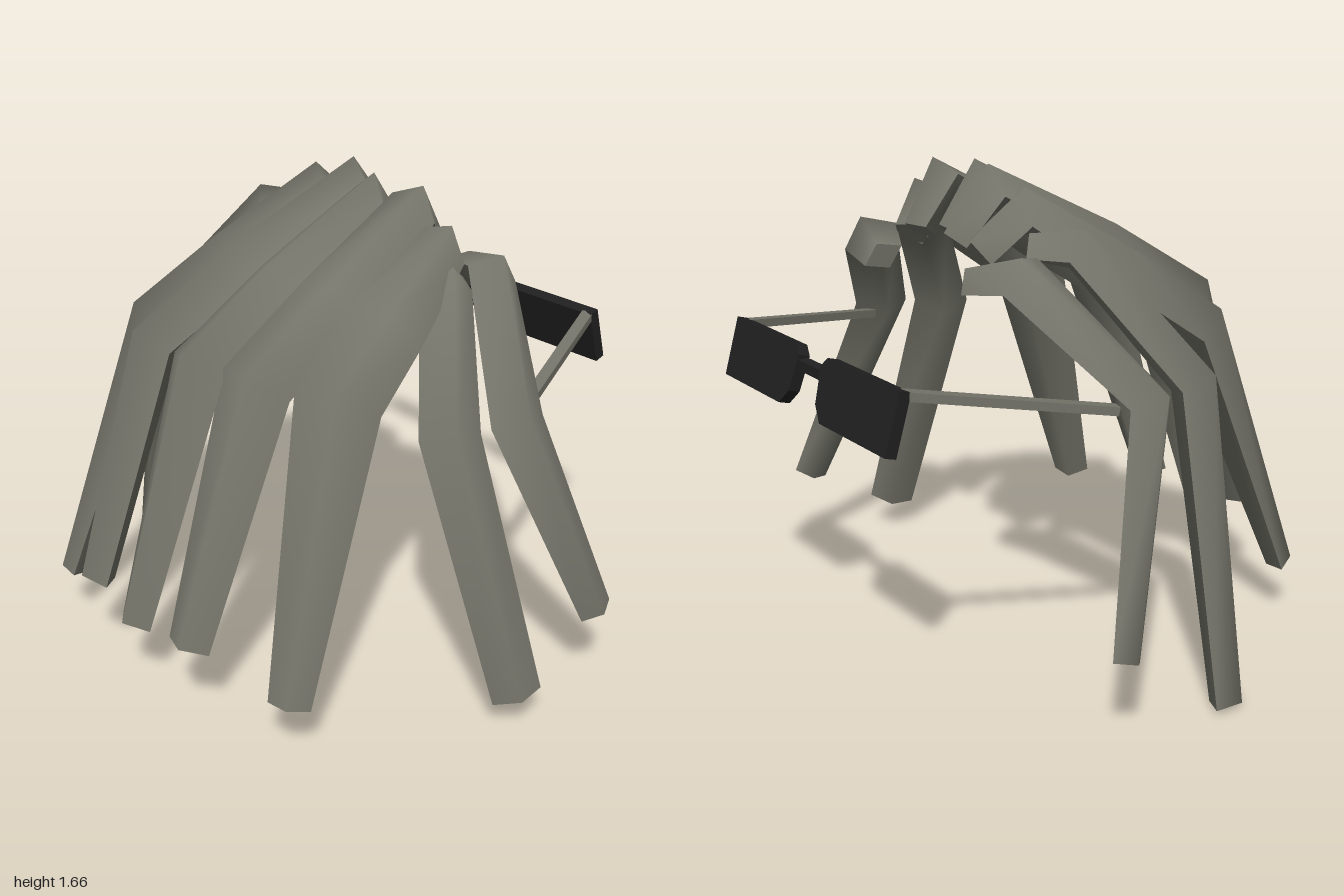
import * as THREE from 'three';

const hairMat = new THREE.MeshStandardMaterial({ color: 0x74746a });
hairMat.name = 'ashGrey';
const blackMat = new THREE.MeshStandardMaterial({ color: 0x202020 });
blackMat.name = 'black';

const V = (a) => new THREE.Vector3(...a);
const HEAD = new THREE.Vector3(0, 0.9, -0.25);

// A lock of hair: diamond cross-sections from root over crown and knee to tip.
// Each station is [x, y, z, half width, half thickness].
function lock(name, stations) {
  const c = stations.map((s) => V(s.slice(0, 3)));
  const rings = stations.map(([, , , w, t], i) => {
    const into = c[Math.max(i, 1)].clone().sub(c[Math.max(i, 1) - 1]).normalize();
    const j = Math.min(i + 1, c.length - 1);
    const out = c[j].clone().sub(c[j - 1]).normalize();
    const T = into.add(out).normalize();
    const N = c[i].clone().sub(HEAD);
    N.addScaledVector(T, -N.dot(T)).normalize();
    const S = N.clone().cross(T);
    return [[S, w], [N, t], [S, -w], [N, -t]].map(([d, k]) => c[i].clone().addScaledVector(d, k));
  });
  // smooth outer and inner faces that meet in a sharp edge at both sides
  const points = rings.flatMap(([a, b, d, e]) => [a, b, d, d, e, a]);
  const index = [];
  for (let i = 0; i < rings.length - 1; i++) {
    for (const k of [0, 1, 3, 4]) {
      const a = i * 6 + k, b = a + 1;
      index.push(a, b, b + 6, a, b + 6, a + 6);
    }
  }
  // flat end caps on their own vertices
  let n = points.length;
  points.push(...rings[0], ...rings[rings.length - 1]);
  index.push(n, n + 2, n + 1, n, n + 3, n + 2);
  n += 4;
  index.push(n, n + 1, n + 2, n, n + 2, n + 3);
  const geo = new THREE.BufferGeometry().setFromPoints(points);
  geo.setIndex(index);
  geo.computeVertexNormals();
  const mesh = new THREE.Mesh(geo, hairMat);
  mesh.name = name;
  return mesh;
}

// Thin bar between two points
function bar(name, from, to, w, h, mat) {
  const a = V(from), b = V(to);
  const mesh = new THREE.Mesh(new THREE.BoxGeometry(w, h, a.distanceTo(b)), mat);
  mesh.position.copy(a).add(b).multiplyScalar(0.5);
  mesh.lookAt(b);
  mesh.name = name;
  return mesh;
}

export function createModel() {
  const model = new THREE.Group();
  model.name = 'hairAndGlasses';

  // Hair
  const hair = new THREE.Group();
  hair.name = 'hair';
  const locks = {
    rightInnerLock: [[-0.19, 1.43, -0.3, 0.08, 0.06], [-0.26, 1.56, -0.18, 0.11, 0.08],
      [-0.375, 1.345, 0.12, 0.135, 0.085], [-0.485, 1.15, 0.37, 0.135, 0.09], [-0.58, 0.235, 0.72, 0.065, 0.045]],
    rightMiddleLock: [[-0.06, 1.44, -0.3, 0.07, 0.06], [-0.1, 1.61, -0.19, 0.11, 0.08],
      [-0.185, 1.38, 0.2, 0.145, 0.09], [-0.255, 1.17, 0.54, 0.135, 0.09], [-0.28, 0.375, 0.81, 0.09, 0.06]],
    centreLock: [[0.06, 1.44, -0.23, 0.05, 0.06], [0.05, 1.6, -0.13, 0.08, 0.08],
      [0.015, 1.375, 0.23, 0.13, 0.09], [-0.01, 1.17, 0.55, 0.13, 0.09], [-0.065, 0.3, 0.81, 0.078, 0.06]],
    leftMiddleLock: [[0.2, 1.43, -0.27, 0.08, 0.06], [0.22, 1.59, -0.17, 0.1, 0.08],
      [0.23, 1.37, 0.19, 0.125, 0.09], [0.225, 1.17, 0.51, 0.13, 0.09], [0.21, 0.335, 0.8, 0.08, 0.06]],
    leftInnerLock: [[0.3, 1.4, -0.25, 0.08, 0.06], [0.36, 1.5, -0.15, 0.1, 0.08],
      [0.415, 1.32, 0.14, 0.13, 0.085], [0.455, 1.15, 0.38, 0.14, 0.09], [0.57, 0.24, 0.69, 0.07, 0.05]],
    rightSideLock: [[-0.34, 1.46, -0.22, 0.07, 0.05], [-0.45, 1.46, -0.12, 0.09, 0.075],
      [-0.72, 1.05, 0.13, 0.1, 0.08], [-0.945, 0.04, 0.11, 0.085, 0.055]],
    leftSideLock: [[0.33, 1.4, -0.2, 0.07, 0.05], [0.42, 1.39, -0.12, 0.09, 0.075],
      [0.69, 1.03, 0.13, 0.1, 0.08], [0.935, 0.15, 0.03, 0.085, 0.05]],
    rightRearLock: [[-0.26, 1.36, -0.385, 0.07, 0.05], [-0.44, 1.4, -0.33, 0.1, 0.075],
      [-0.77, 1.04, -0.09, 0.1, 0.075], [-0.955, 0.325, -0.325, 0.065, 0.045]],
    leftRearLock: [[0.25, 1.35, -0.39, 0.07, 0.05], [0.43, 1.38, -0.33, 0.1, 0.075],
      [0.77, 1.04, -0.09, 0.1, 0.075], [0.96, 0.335, -0.325, 0.065, 0.045]],
  };
  for (const [name, stations] of Object.entries(locks)) hair.add(lock(name, stations));
  model.add(hair);

  // Glasses
  const glasses = new THREE.Group();
  glasses.name = 'glasses';
  for (const s of [1, -1]) {
    const side = s > 0 ? 'left' : 'right';
    // lens with clipped inner corners
    const outline = [[0.07, 0.07], [0.1, 0.1], [0.51, 0.1], [0.51, -0.1], [0.13, -0.1], [0.085, -0.05]];
    const shape = new THREE.Shape(outline.map(([x, y]) => new THREE.Vector2(s * x, y)));
    const geo = new THREE.ExtrudeGeometry(shape, { depth: 0.04, bevelEnabled: false });
    geo.translate(0, 0, -0.02);
    const lens = new THREE.Mesh(geo, blackMat);
    lens.position.set(0, 1.05, -0.82);
    lens.rotation.x = 0.29;
    lens.name = side + 'Lens';
    glasses.add(lens);
    glasses.add(bar(side + 'Temple', [s * 0.485, 1.13, -0.79], [s * 0.71, 1.02, -0.17], 0.04, 0.028, hairMat));
  }
  glasses.add(bar('bridge', [-0.1, 1.09, -0.805], [0.1, 1.09, -0.805], 0.035, 0.035, blackMat));
  model.add(glasses);
  return model;
}
